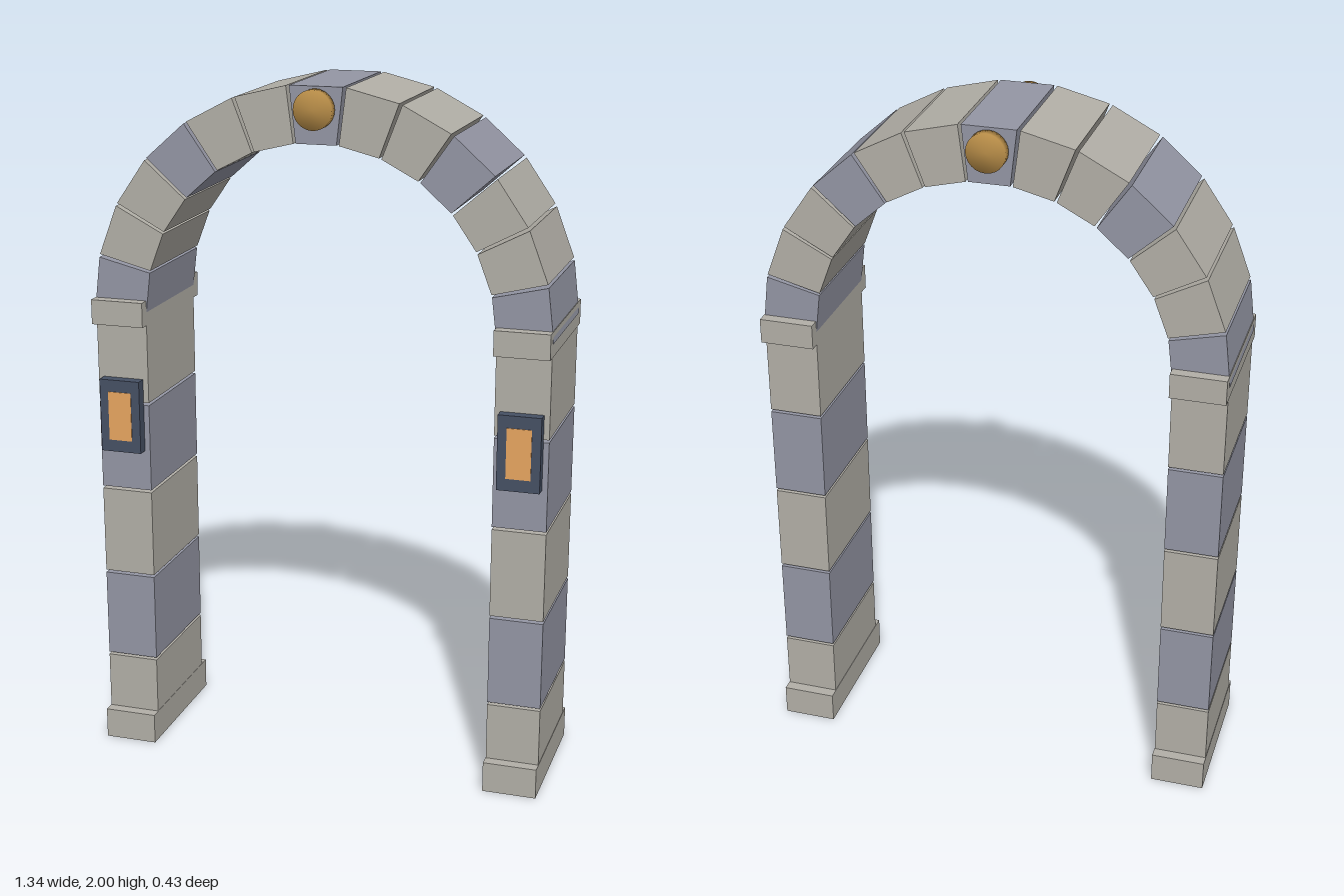
import * as THREE from 'three';
import { mergeVertices } from 'three/addons/utils/BufferGeometryUtils.js';

const mat = (color) => new THREE.MeshStandardMaterial({ color });

export function createModel() {
  const stone = mat(0xb2afa7), slate = mat(0x9496a4);
  const gold = mat(0xb88d48), frameMat = mat(0x465064), glow = mat(0xe8a660);
  const model = new THREE.Group();

  const INNER = 0.51, OUTER = 0.668, SPRING = 1.335, DEPTH = 0.365;
  const GAP = 0.008, COURSES = 5, WEDGES = 13;
  const legX = 0.588, legW = 0.154;

  const add = (parent, name, geometry, material, x = 0, y = 0, z = 0) => {
    const mesh = new THREE.Mesh(geometry, material);
    mesh.name = name;
    mesh.position.set(x, y, z);
    parent.add(mesh);
    return mesh;
  };
  const box = (parent, name, material, w, h, d, x, y, z) =>
    add(parent, name, new THREE.BoxGeometry(w, h, d), material, x, y, z);

  // Pillars: stacked blocks in alternating colours, plinth, capital and lamp
  for (const side of [1, -1]) {
    const pillar = new THREE.Group();
    pillar.name = side > 0 ? 'leftPillar' : 'rightPillar';
    pillar.position.x = side * legX;
    const step = SPRING / COURSES;
    for (let i = 0; i < COURSES; i++) {
      box(pillar, 'pillarBlock', i % 2 ? slate : stone,
        legW, step - GAP, DEPTH, 0, i * step + (step - GAP) / 2, 0);
    }
    box(pillar, 'plinth', stone, legW + 0.002, 0.09, 0.43, 0, 0.045, 0);
    box(pillar, 'capital', stone, legW + 0.002, 0.072, 0.43, 0, 1.336, 0);
    box(pillar, 'lampFrame', frameMat, 0.122, 0.216, 0.032, 0, 1.03, 0.199);
    box(pillar, 'lampPanel', glow, 0.07, 0.145, 0.004, 0, 1.03, 0.215);
    model.add(pillar);
  }

  // Arch: straight-sided wedges with narrow open joints, every third one slate
  const arch = new THREE.Group();
  arch.name = 'arch';
  const sweep = Math.PI / WEDGES;
  const joint = 0.007;
  for (let i = 0; i < WEDGES; i++) {
    const a = i * sweep + joint, b = (i + 1) * sweep - joint;
    const at = (r, t) => new THREE.Vector2(Math.cos(t) * r, Math.sin(t) * r);
    const shape = new THREE.Shape([at(INNER, a), at(OUTER, a), at(OUTER, b), at(INNER, b)]);
    const geometry = new THREE.ExtrudeGeometry(shape, { depth: DEPTH, bevelEnabled: false });
    geometry.translate(0, 0, -DEPTH / 2);
    const name = i === (WEDGES - 1) / 2 ? 'keystone' : 'archWedge';
    add(arch, name, geometry, i % 3 ? stone : slate, 0, SPRING, 0);
  }
  model.add(arch);

  // Softly shaded round boss on both faces of the keystone
  let boss = new THREE.CylinderGeometry(0.055, 0.055, 0.027, 24);
  boss.deleteAttribute('normal');
  boss.deleteAttribute('uv');
  boss = mergeVertices(boss);
  boss.computeVertexNormals();
  boss.rotateX(Math.PI / 2);
  for (const side of [1, -1]) {
    add(model, side > 0 ? 'frontBoss' : 'backBoss', boss, gold, 0, 1.938, side * 0.2);
  }

  return model;
}
